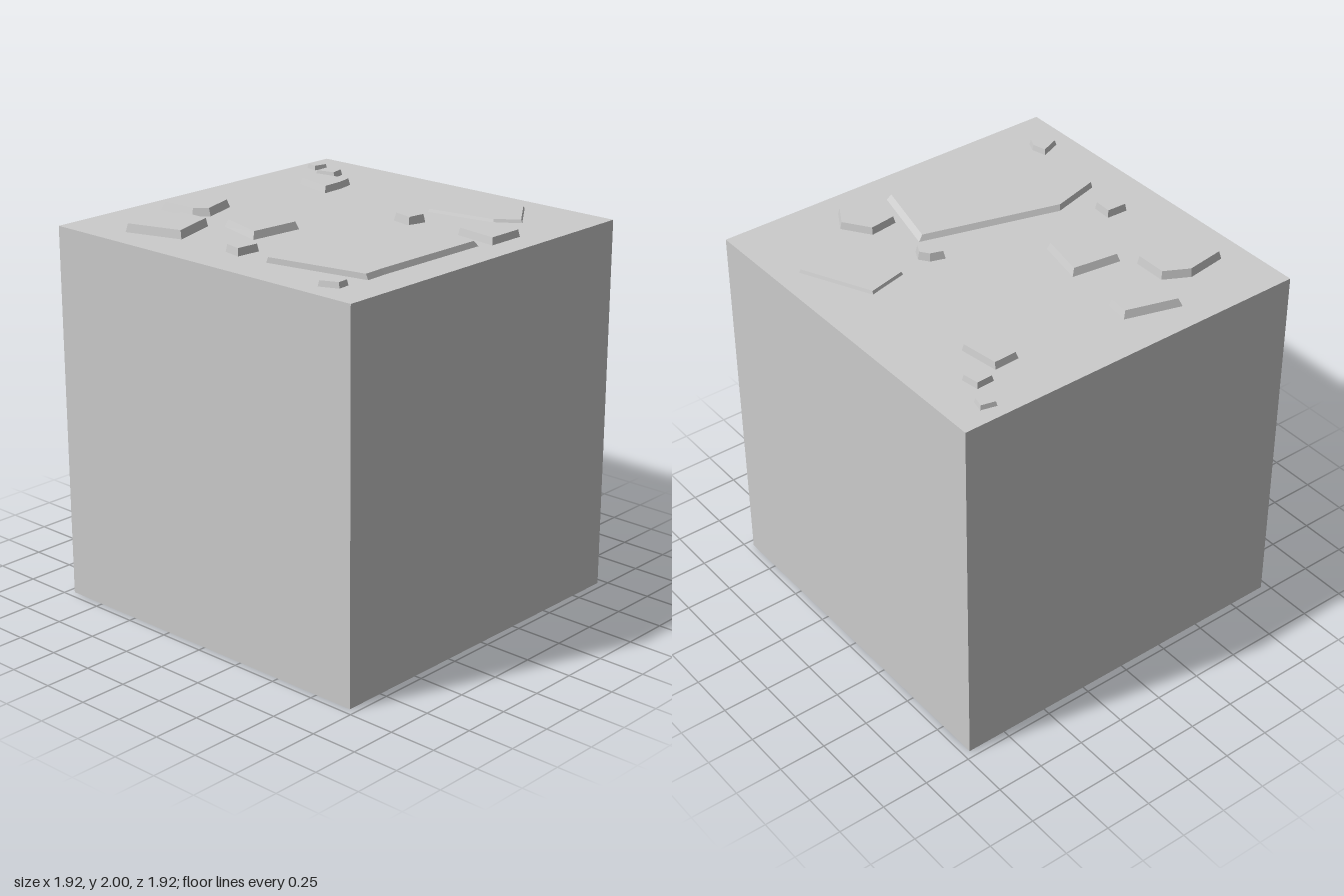
import * as THREE from 'three';

const BLOCK_TOP = 1.957;

// Each slab: top height, bevel inset, z shift of the top face, base outline as [x, z]
// (listed clockwise when looking down).
const SLABS = {
  largeSlab: [1.985, 0.012, 0.011, [[0.37, -0.235], [0.78, -0.135], [0.77, 0.52], [0.775, 0.64], [0.24, 0.745], [0.17, 0.48]]],
  backSlab: [1.973, 0.006, 0, [[0.14, -0.67], [0.505, -0.84], [0.67, -0.61], [0.56, -0.52], [0.19, -0.46]]],
  rightStone: [1.993, 0.008, 0, [[0.56, -0.375], [0.7, -0.47], [0.82, -0.4], [0.82, -0.19], [0.58, -0.225]]],
  middlePebble: [1.998, 0.008, 0, [[0.175, -0.22], [0.2, -0.295], [0.25, -0.33], [0.31, -0.3], [0.295, -0.195]]],
  cornerPebble: [1.98, 0.005, 0, [[-0.895, -0.735], [-0.875, -0.815], [-0.81, -0.8], [-0.825, -0.72]]],
  backPebble: [1.987, 0.006, 0, [[-0.745, -0.73], [-0.65, -0.745], [-0.63, -0.66], [-0.74, -0.635]]],
  backLeftStone: [1.992, 0.009, -0.003, [[-0.68, -0.58], [-0.47, -0.61], [-0.45, -0.52], [-0.445, -0.39], [-0.675, -0.445]]],
  leftStone: [1.997, 0.013, 0, [[-0.735, 0.125], [-0.605, 0.14], [-0.545, 0.335], [-0.61, 0.4], [-0.82, 0.41]]],
  middleStone: [1.995, 0.014, 0, [[-0.32, 0.16], [-0.055, 0.215], [-0.08, 0.505], [-0.355, 0.425]]],
  frontLeftStone: [2.0, 0.008, 0, [[-0.595, 0.475], [-0.42, 0.475], [-0.34, 0.73], [-0.635, 0.82], [-0.665, 0.605]]],
  frontPebble: [1.995, 0.006, 0, [[-0.025, 0.625], [0.08, 0.63], [0.07, 0.76], [-0.03, 0.74]]],
  frontRightPebble: [1.985, 0.006, 0, [[0.63, 0.755], [0.71, 0.735], [0.765, 0.76], [0.77, 0.825], [0.675, 0.865]]],
};

// Moves every edge of the outline inwards by d
function insetOutline(points, d) {
  const n = points.length;
  const inward = points.map((p, i) => {
    const e = points[(i + 1) % n].clone().sub(p).normalize();
    return new THREE.Vector2(-e.y, e.x);
  });
  return points.map((p, i) => {
    const a = inward[(i + n - 1) % n], b = inward[i];
    return p.clone().addScaledVector(a.clone().add(b), d / (1 + a.dot(b)));
  });
}

// Convex slab with sloping sides and a flat top
function slabGeometry(height, inset, shift, outline) {
  const base2 = outline.map(([x, z]) => new THREE.Vector2(x, z));
  const base = base2.map((p) => [p.x, BLOCK_TOP, p.y]);
  const top = insetOutline(base2, inset).map((p) => [p.x, height, p.y + shift]);
  const verts = [];
  for (let i = 0; i < base.length; i++) {
    const j = (i + 1) % base.length;
    verts.push(base[j], base[i], top[i], base[j], top[i], top[j]);
    if (i > 0 && j > 0) verts.push(top[0], top[j], top[i]);
  }
  const g = new THREE.BufferGeometry();
  g.setAttribute('position', new THREE.Float32BufferAttribute(verts.flat(), 3));
  g.computeVertexNormals();
  return g;
}

export function createModel() {
  const model = new THREE.Group();
  model.name = 'stoneBlock';
  const material = new THREE.MeshStandardMaterial({ color: 0xcccccc, flatShading: true });

  // Main cube
  const block = new THREE.Mesh(new THREE.BoxGeometry(1.924, BLOCK_TOP, 1.924), material);
  block.position.y = BLOCK_TOP / 2;
  block.name = 'block';
  model.add(block);

  // Raised stones scattered over the top
  for (const [name, spec] of Object.entries(SLABS)) {
    const slab = new THREE.Mesh(slabGeometry(...spec), material);
    slab.name = name;
    model.add(slab);
  }
  return model;
}
